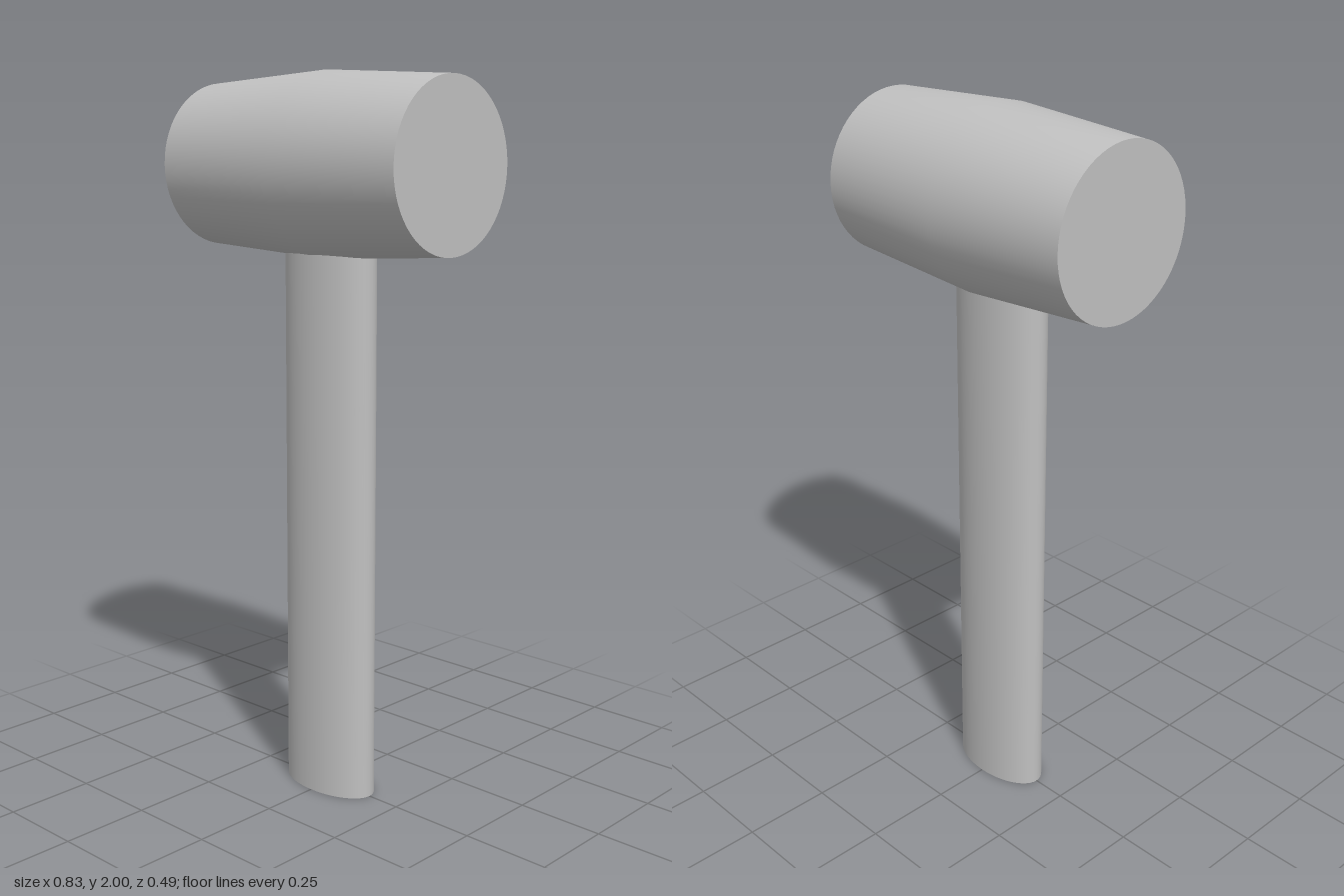
import * as THREE from 'three';

export function createModel() {
  const model = new THREE.Group();
  model.name = 'mallet';

  const grey = new THREE.MeshStandardMaterial({ color: 0xc0c0c0 });
  grey.name = 'plain grey';

  const headY = 1.754;
  const endRadius = 0.224;
  const midRadius = 0.247;
  const halfLength = 0.414;

  // Handle: an oval shaft whose top is buried in the head
  const handleHeight = 1.6;
  const handleGeometry = new THREE.CylinderGeometry(1, 1, handleHeight, 48);
  handleGeometry.scale(0.151, 1, 0.082);
  const handle = new THREE.Mesh(handleGeometry, grey);
  handle.name = 'handle';
  handle.position.y = handleHeight / 2;
  model.add(handle);

  // Head: a barrel widest in the middle, lying along x, with flat striking faces
  const profile = [
    [0, -halfLength],
    [endRadius, -halfLength],
    [endRadius, -halfLength],
    [midRadius, 0],
    [endRadius, halfLength],
    [endRadius, halfLength],
    [0, halfLength],
  ].map(([r, y]) => new THREE.Vector2(r, y));

  const head = new THREE.Group();
  head.name = 'head';
  head.position.y = headY;
  head.rotation.z = -Math.PI / 2;
  model.add(head);

  const barrel = new THREE.Mesh(new THREE.LatheGeometry(profile.slice(2, 5), 64), grey);
  barrel.name = 'barrel';
  head.add(barrel);

  // Striking faces, one at each end
  for (const side of [-1, 1]) {
    const face = new THREE.Mesh(new THREE.CircleGeometry(endRadius, 64), grey);
    face.name = side > 0 ? 'leftStrikingFace' : 'rightStrikingFace';
    face.position.y = side * halfLength;
    face.rotation.x = -side * Math.PI / 2;
    head.add(face);
  }

  return model;
}
